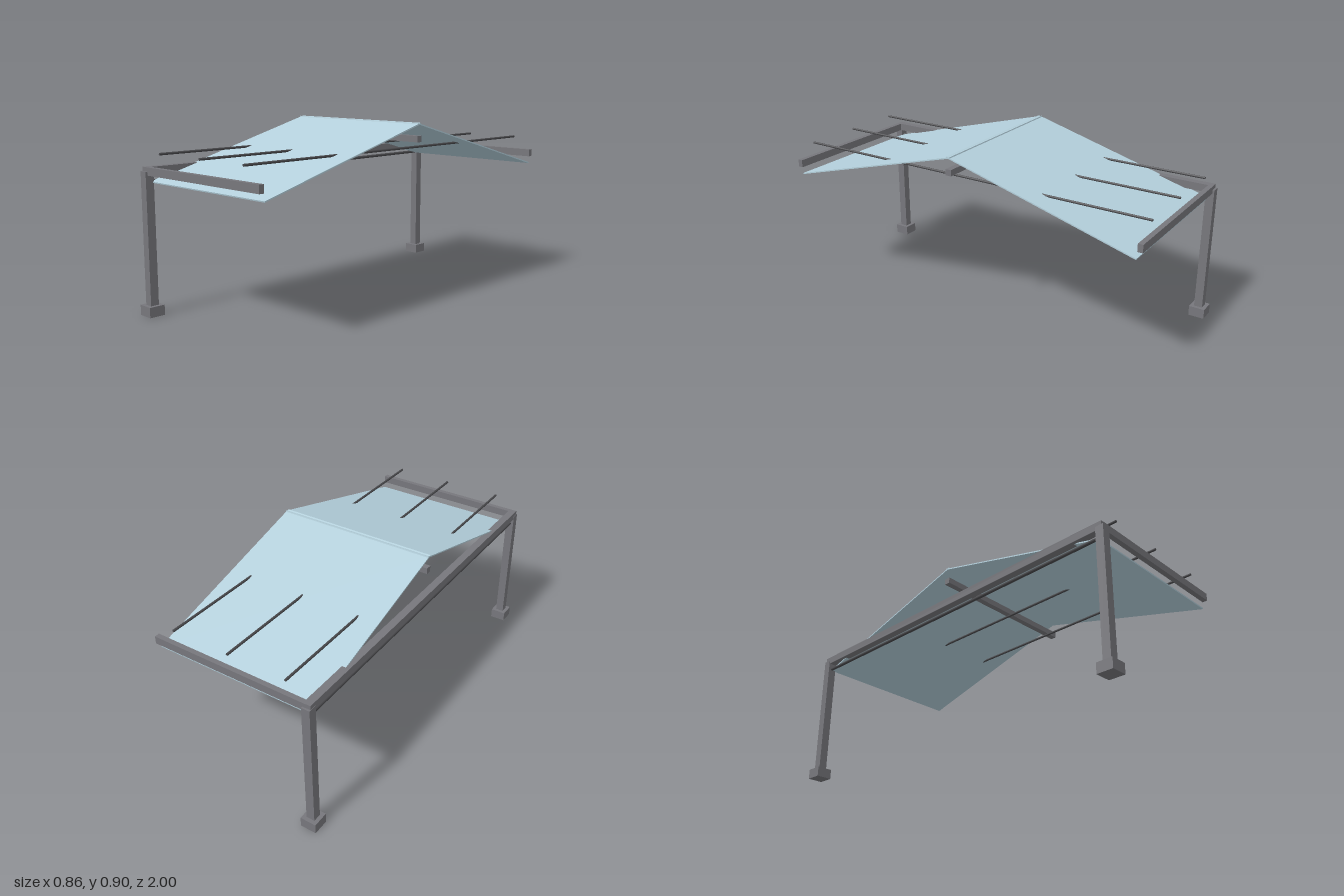
import * as THREE from 'three';

export function createModel() {
  const group = new THREE.Group();
  const steel = new THREE.MeshStandardMaterial({ color: 0x77777c });
  const dark = new THREE.MeshStandardMaterial({ color: 0x4a4a4d });
  const sheet = new THREE.MeshStandardMaterial({ color: 0xb4d0dc });

  const add = (name, geometry, material, x, y, z) => {
    const mesh = new THREE.Mesh(geometry, material);
    mesh.name = name;
    mesh.position.set(x, y, z);
    group.add(mesh);
    return mesh;
  };
  const box = (name, material, w, h, d, x, y, z) =>
    add(name, new THREE.BoxGeometry(w, h, d), material, x, y, z);
  const rod = (name, radius, length, x, y) =>
    add(name, new THREE.CylinderGeometry(radius, radius, length, 8).rotateX(Math.PI / 2), dark, x, y, 0);

  const postX = -0.392;
  const roofEnd = 0.43;
  const span = roofEnd - postX;
  const midX = (roofEnd + postX) / 2;

  // Roof slope: a thin sheet from just past the ridge down to the eave
  const ridge = { y: 0.895, z: -0.01 };
  const eave = { y: 0.633, z: 0.945 };
  const slopeLength = Math.hypot(eave.z - ridge.z, eave.y - ridge.y);
  const slopeAngle = Math.atan2(ridge.y - eave.y, eave.z - ridge.z);

  for (const side of [1, -1]) {
    box('footing', steel, 0.08, 0.05, 0.08, postX, 0.025, side * 0.96);
    box('post', steel, 0.042, 0.635, 0.042, postX, 0.3675, side * 0.96);
    box('endBeam', steel, span, 0.038, 0.025, midX, 0.686, side * 0.9595);

    const panel = box('roofPanel', sheet, span, 0.006, slopeLength,
      midX, (ridge.y + eave.y) / 2, side * (ridge.z + eave.z) / 2);
    panel.rotation.x = side * slopeAngle;
  }

  // Long members
  box('backBeam', steel, 0.038, 0.038, 1.942, postX, 0.686, 0);
  box('ridgeBeam', steel, span, 0.03, 0.03, midX, 0.822, 0);
  rod('lowerRail', 0.008, 1.9, postX, 0.637);

  // Rods running through both roof slopes
  for (const x of [-0.283, 0.02, 0.32]) rod('crossRod', 0.006, 1.92, x, 0.771);

  return group;
}
